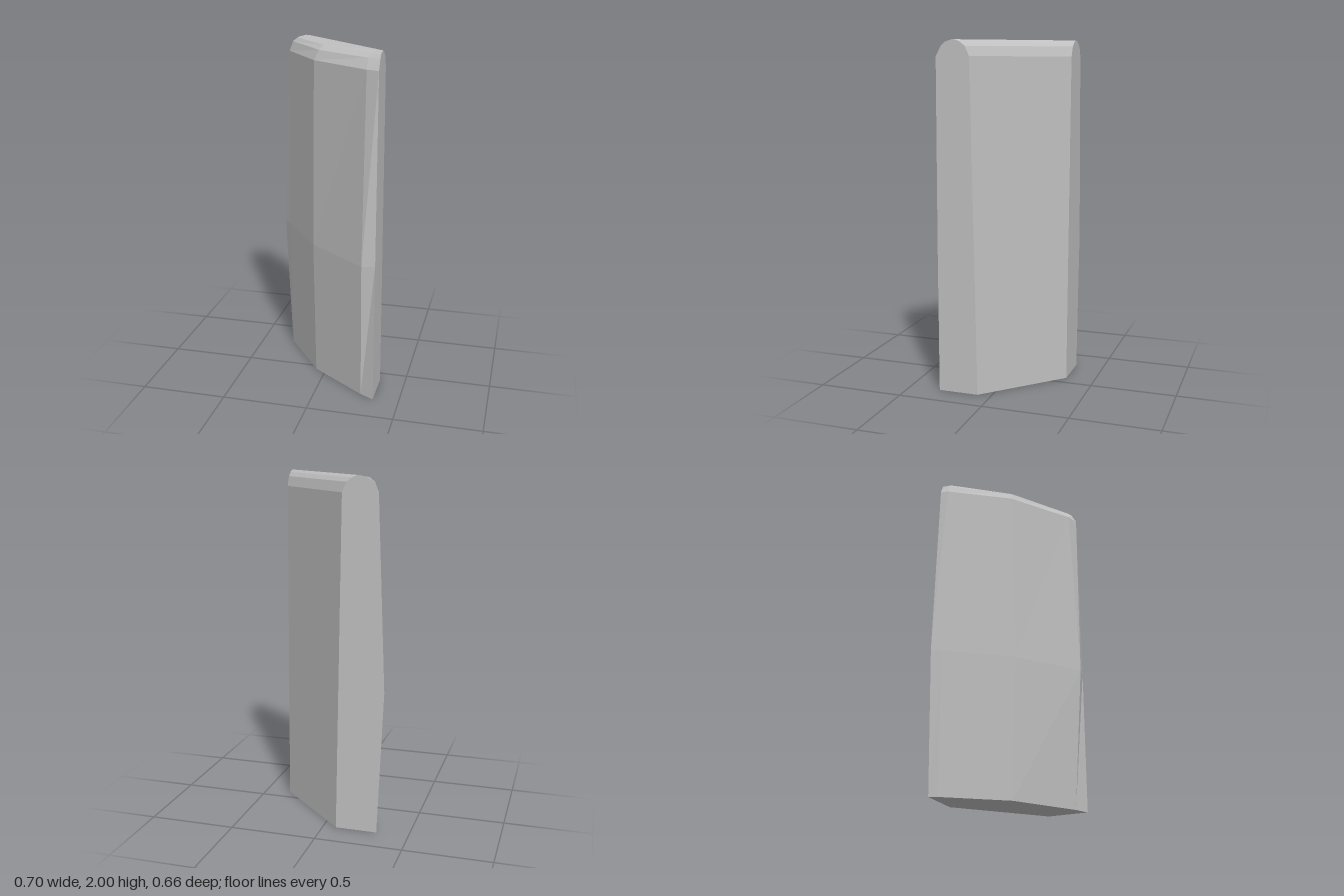
import * as THREE from 'three';

// Horizontal cross-sections from base to ridge. Each lists [x, z] corners:
// four along the bowed front, then the two ends of the flat back.
const SECTIONS = [
  { y: 0, ring: [[-0.315, -0.33], [-0.297, -0.285], [-0.06, 0.04], [0.27, 0.275], [0.35, 0.315], [0.35, 0.08], [-0.075, -0.33]] },
  { y: 0.83, ring: [[-0.352, -0.33], [-0.315, -0.28], [-0.07, 0.06], [0.275, 0.33], [0.35, 0.315], [0.35, 0.095], [-0.09, -0.33]] },
  { y: 1.91, ring: [[-0.31, -0.33], [-0.3, -0.285], [-0.067, 0.038], [0.28, 0.285], [0.35, 0.31], [0.35, 0.115], [-0.11, -0.33]] },
  { y: 1.965, ring: [[-0.288, -0.33], [-0.28, -0.295], [-0.04, 0.025], [0.277, 0.24], [0.35, 0.28], [0.35, 0.14], [-0.135, -0.33]] },
  { y: 1.988, ring: [[-0.255, -0.33], [-0.25, -0.292], [-0.018, 0], [0.3, 0.215], [0.35, 0.255], [0.35, 0.17], [-0.165, -0.33]] },
  { y: 2, ring: [[-0.21, -0.33], [-0.19, -0.31], [0.05, -0.075], [0.315, 0.18], [0.35, 0.215], [0.35, 0.2], [-0.195, -0.33]] },
];

// Joins the sections into a closed solid.
function loft(sections) {
  const n = sections[0].ring.length;
  const positions = sections.flatMap(({ y, ring }) => ring.flatMap(([x, z]) => [x, y, z]));
  const index = [];
  for (let i = 0; i < sections.length - 1; i++) {
    for (let j = 0; j < n; j++) {
      const a = i * n + j;
      const b = i * n + (j + 1) % n;
      index.push(a, b, b + n, a, b + n, a + n);
    }
  }
  const top = (sections.length - 1) * n;
  for (let j = 1; j < n - 1; j++) {
    index.push(0, j + 1, j); // base
    index.push(top, top + j, top + j + 1); // ridge
  }
  const indexed = new THREE.BufferGeometry();
  indexed.setAttribute('position', new THREE.Float32BufferAttribute(positions, 3));
  indexed.setIndex(index);
  const geometry = indexed.toNonIndexed();
  geometry.computeVertexNormals();
  return geometry;
}

export function createModel() {
  const group = new THREE.Group();
  group.name = 'standingSlab';

  const stone = new THREE.MeshStandardMaterial({ color: 0xbfbfbf, flatShading: true });
  stone.name = 'paleGreyStone';

  // Upright slab with a bowed front and rounded top
  const slab = new THREE.Mesh(loft(SECTIONS), stone);
  slab.name = 'slab';
  group.add(slab);
  return group;
}
